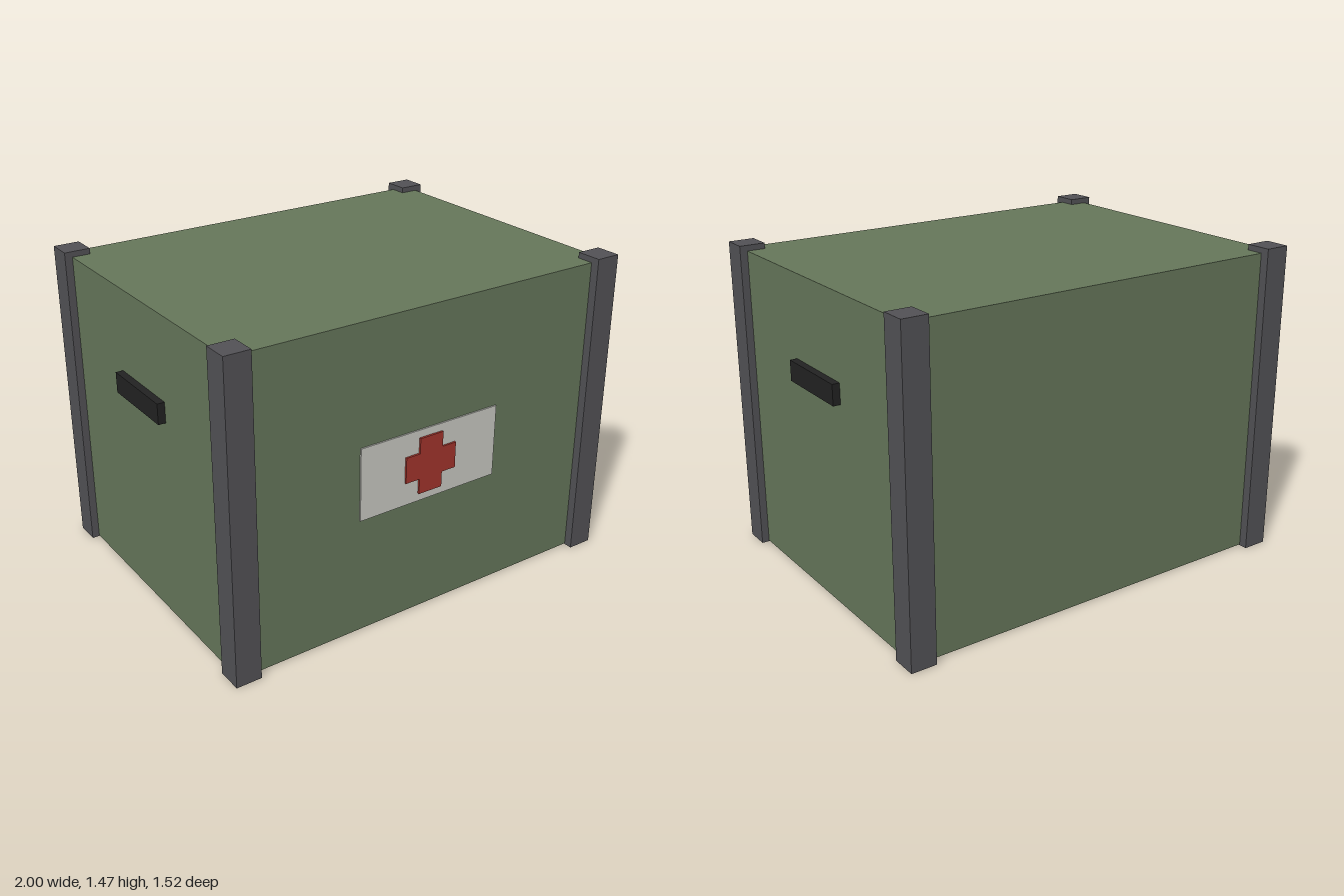
import * as THREE from 'three';

const material = (name, color) => new THREE.MeshStandardMaterial({ name, color });

export function createModel() {
  const group = new THREE.Group();
  const green = material('olive green', 0x65765a);
  const grey = material('post grey', 0x525155);
  const black = material('handle black', 0x222222);
  const white = material('label white', 0xc8c8c2);
  const red = material('cross red', 0xa2342c);

  function addBox(name, mat, w, h, d, x, y, z) {
    const mesh = new THREE.Mesh(new THREE.BoxGeometry(w, h, d), mat);
    mesh.name = name;
    mesh.position.set(x, y, z);
    group.add(mesh);
  }

  // Crate body, a hair above the post feet
  addBox('crateBody', green, 1.93, 1.442, 1.44, 0, 0.725, 0);

  for (const sx of [-1, 1]) {
    const side = sx > 0 ? 'left' : 'right';
    // Corner posts
    for (const sz of [-1, 1]) {
      addBox(`${side}${sz > 0 ? 'Front' : 'Back'}Post`, grey, 0.12, 1.472, 0.12, sx * 0.94, 0.736, sz * 0.7);
    }
    // Side handles, slightly sunk into the wall
    addBox(`${side}Handle`, black, 0.07, 0.095, 0.386, sx * 0.964, 1.013, 0);
  }

  // Front label plate
  addBox('labelPlate', white, 0.724, 0.34, 0.008, 0, 0.726, 0.723);

  // Raised cross on the label
  const arm = 0.133, half = 0.061;
  const shape = new THREE.Shape();
  for (let i = 0; i < 4; i++) {
    const c = Math.round(Math.cos(i * Math.PI / 2)), s = Math.round(Math.sin(i * Math.PI / 2));
    for (const [x, y] of [[arm, -half], [arm, half], [half, half]]) {
      const px = x * c - y * s, py = x * s + y * c;
      if (i === 0 && x === arm && y < 0) shape.moveTo(px, py);
      else shape.lineTo(px, py);
    }
  }
  const cross = new THREE.Mesh(
    new THREE.ExtrudeGeometry(shape, { depth: 0.009, bevelEnabled: false }), red);
  cross.name = 'labelCross';
  cross.position.set(0, 0.727, 0.727);
  group.add(cross);

  return group;
}
